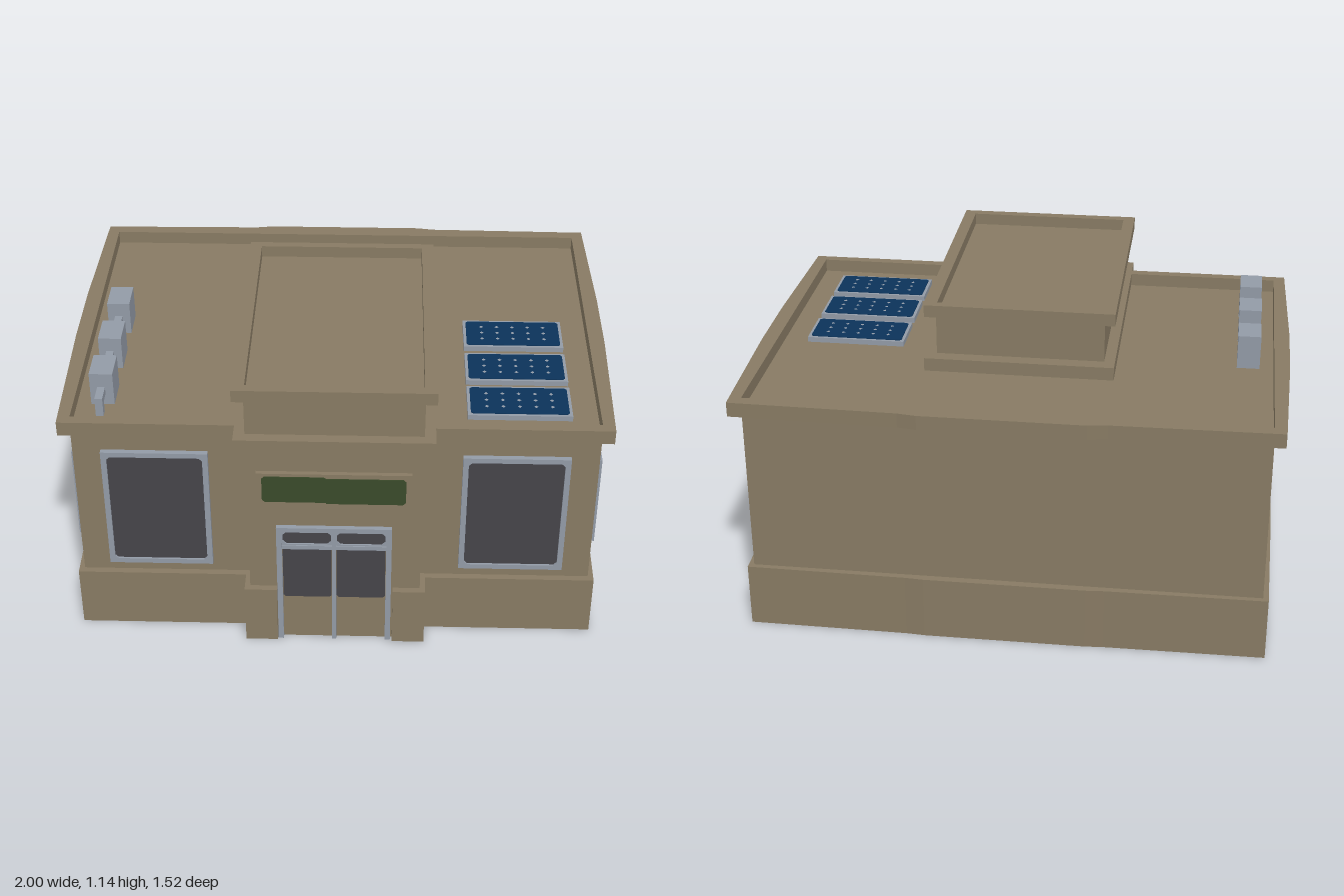
import * as THREE from 'three';

const mat = (name, color) => {
  const m = new THREE.MeshStandardMaterial({ color });
  m.name = name;
  return m;
};

export function createModel() {
  const wall = mat('wallBrown', 0x877a63);
  const metal = mat('frameGrey', 0x929aa6);
  const glass = mat('darkGlass', 0x454449);
  const green = mat('signGreen', 0x3a4a2a);
  const blue = mat('solarBlue', 0x0b335a);
  const model = new THREE.Group();
  model.name = 'building';

  const add = (parent, name, geometry, material) => {
    const mesh = new THREE.Mesh(geometry, material);
    mesh.name = name;
    parent.add(mesh);
    return mesh;
  };
  // box given by its limits on each axis
  const box = (parent, name, material, x0, x1, y0, y1, z0, z1) => {
    const mesh = add(parent, name, new THREE.BoxGeometry(x1 - x0, y1 - y0, z1 - z0), material);
    mesh.position.set((x0 + x1) / 2, (y0 + y1) / 2, (z0 + z1) / 2);
    return mesh;
  };
  const group = (name, parent = model) => {
    const g = new THREE.Group();
    g.name = name;
    parent.add(g);
    return g;
  };
  // rectangle outline with cut corners
  const cutRect = (x0, x1, y0, y1, c) => [
    [x0 + c, y0], [x1 - c, y0], [x1, y0 + c], [x1, y1 - c],
    [x1 - c, y1], [x0 + c, y1], [x0, y1 - c], [x0, y0 + c],
  ].map(([x, y]) => new THREE.Vector2(x, y));
  const rect = (x0, x1, y0, y1) =>
    [[x0, y0], [x1, y0], [x1, y1], [x0, y1]].map(([x, y]) => new THREE.Vector2(x, y));
  const extrude = (outline, holes, depth) => {
    const shape = new THREE.Shape(outline);
    holes.forEach((h) => shape.holes.push(new THREE.Path(h)));
    return new THREE.ExtrudeGeometry(shape, { depth, bevelEnabled: false });
  };
  // horizontal slab from a plan drawn in (x, -z)
  const slab = (name, outline, holes, y0, y1) => {
    const mesh = add(model, name, extrude(outline, holes, y1 - y0), wall);
    mesh.rotation.x = -Math.PI / 2;
    mesh.position.y = y0;
  };
  // plan outline whose sides and back bow slightly outwards
  const bowedPlan = (x, front, back, bow) => [
    [-x, -front], [x, -front], [x + bow, -0.1], [x + bow, 0.2], [x, back],
    [0.37, back + bow * 0.6], [0.3, back + bow * 1.3], [-0.3, back + bow * 1.3],
    [-0.37, back + bow * 0.6], [-x, back], [-x - bow, 0.2], [-x - bow, -0.1],
  ].map(([a, b]) => new THREE.Vector2(a, b));

  // walls
  box(model, 'mainBody', wall, -0.945, 0.945, 0, 0.89, -0.7, 0.635);
  box(model, 'entranceTower', wall, -0.315, 0.315, 0, 1.1, -0.24, 0.72);

  // plinth, open at the door
  slab('plinth', bowedPlan(0.965, 0.66, 0.72, 0.007), [], 0, 0.245);
  for (const s of [-1, 1]) {
    const a = s * 0.215, b = s * 0.335;
    box(model, 'entrancePlinth', wall, Math.min(a, b), Math.max(a, b), 0, 0.245, 0.6, 0.745);
  }

  // cornices around the recessed roofs
  slab('roofCornice', bowedPlan(0.985, 0.67, 0.745, 0.015), [rect(-0.942, 0.942, -0.632, 0.7)], 0.885, 0.94);
  box(model, 'towerLowerCornice', wall, -0.355, 0.355, 0.885, 0.9405, -0.293, 0.76);
  slab('towerCap', rect(-0.355, 0.355, -0.753, 0.27), [rect(-0.31, 0.31, -0.715, 0.238)], 1.098, 1.145);

  // framed window lying in the xy plane around its centre
  const makeWindow = (name, w, h) => {
    const g = group(name);
    const x = w / 2, y = h / 2, f = 0.02;
    const hole = cutRect(-x + f, x - f, -y + f, y - f, 0.012);
    add(g, 'windowFrame', extrude(rect(-x, x, -y, y), [hole], 0.02), metal);
    add(g, 'windowGlass', new THREE.ShapeGeometry(new THREE.Shape(hole)), glass).position.z = 0.012;
    return g;
  };
  for (const s of [-1, 1]) {
    makeWindow('frontWindow', 0.385, 0.51).position.set(s * 0.65, 0.545, 0.635);
    const side = makeWindow('sideWindow', 0.585, 0.375);
    side.position.set(s * 0.945, 0.547, 0.273);
    side.rotation.y = s * Math.PI / 2;
  }

  // sign board with a blank green panel
  const sign = group('sign');
  box(sign, 'signBoard', wall, -0.28, 0.275, 0.635, 0.78, 0.715, 0.737);
  const panel = [[-0.25, 0.656], [-0.03, 0.656], [-0.03, 0.651], [0.245, 0.651], [0.255, 0.661],
    [0.255, 0.752], [0.245, 0.762], [-0.03, 0.762], [-0.04, 0.768], [-0.25, 0.768],
    [-0.26, 0.758], [-0.26, 0.666]].map(([x, y]) => new THREE.Vector2(x, y));
  add(sign, 'signPanel', extrude(panel, [], 0.003), green).position.z = 0.737;

  // double door with transom lights
  const door = group('entranceDoor');
  box(door, 'leftPost', metal, 0.188, 0.208, 0, 0.535, 0.715, 0.738);
  box(door, 'rightPost', metal, -0.213, -0.193, 0, 0.535, 0.715, 0.738);
  box(door, 'middlePost', metal, -0.01, 0.005, 0, 0.515, 0.715, 0.738);
  box(door, 'lintel', metal, -0.193, 0.188, 0.515, 0.535, 0.715, 0.738);
  box(door, 'transomBar', metal, -0.193, 0.188, 0.435, 0.452, 0.715, 0.736);
  for (const [x0, x1] of [[-0.193, -0.01], [0.005, 0.188]]) {
    const light = cutRect(x0 + 0.003, x1 - 0.003, 0.457, 0.513, 0.014);
    add(door, 'transomFrame', extrude(rect(x0, x1, 0.45, 0.517), [light], 0.012), metal).position.z = 0.72;
    add(door, 'transomGlass', new THREE.ShapeGeometry(new THREE.Shape(light)), glass).position.z = 0.726;
    const pane = cutRect(x0 + 0.002, x1 - 0.002, 0.2, 0.432, 0.008);
    add(door, 'doorGlass', extrude(pane, [], 0.005), glass).position.z = 0.721;
  }

  // rooftop air units, each with a bent pipe
  for (const z of [-0.125, 0.12, 0.355]) {
    const unit = group('airUnit');
    box(unit, 'unitBox', metal, -0.89, -0.805, 0.89, 1.02, z, z + 0.125);
    box(unit, 'pipe', metal, -0.863, -0.835, 0.935, 0.965, z + 0.125, z + 0.2);
    box(unit, 'pipeDrop', metal, -0.863, -0.835, 0.89, 0.936, z + 0.17, z + 0.2);
  }

  // solar panels: blue field with diamond gaps where cells meet
  for (const z of [0, 0.228, 0.45]) {
    const solar = group('solarPanel');
    solar.position.set(0.66, 0.89, z);
    box(solar, 'panelFrame', metal, -0.188, 0.188, 0, 0.02, -0.092, 0.092);
    const field = add(solar, 'panelField', extrude(cutRect(-0.177, 0.177, -0.081, 0.081, 0.008), [], 0.004), blue);
    field.rotation.x = -Math.PI / 2;
    field.position.y = 0.019;
    for (let i = 1; i < 6; i++) {
      for (let j = 1; j < 4; j++) {
        const gap = add(solar, 'cellGap', new THREE.CircleGeometry(0.008, 4), metal);
        gap.rotation.x = -Math.PI / 2;
        gap.position.set(-0.177 + i * 0.059, 0.0245, -0.081 + j * 0.0405);
      }
    }
  }
  return model;
}
